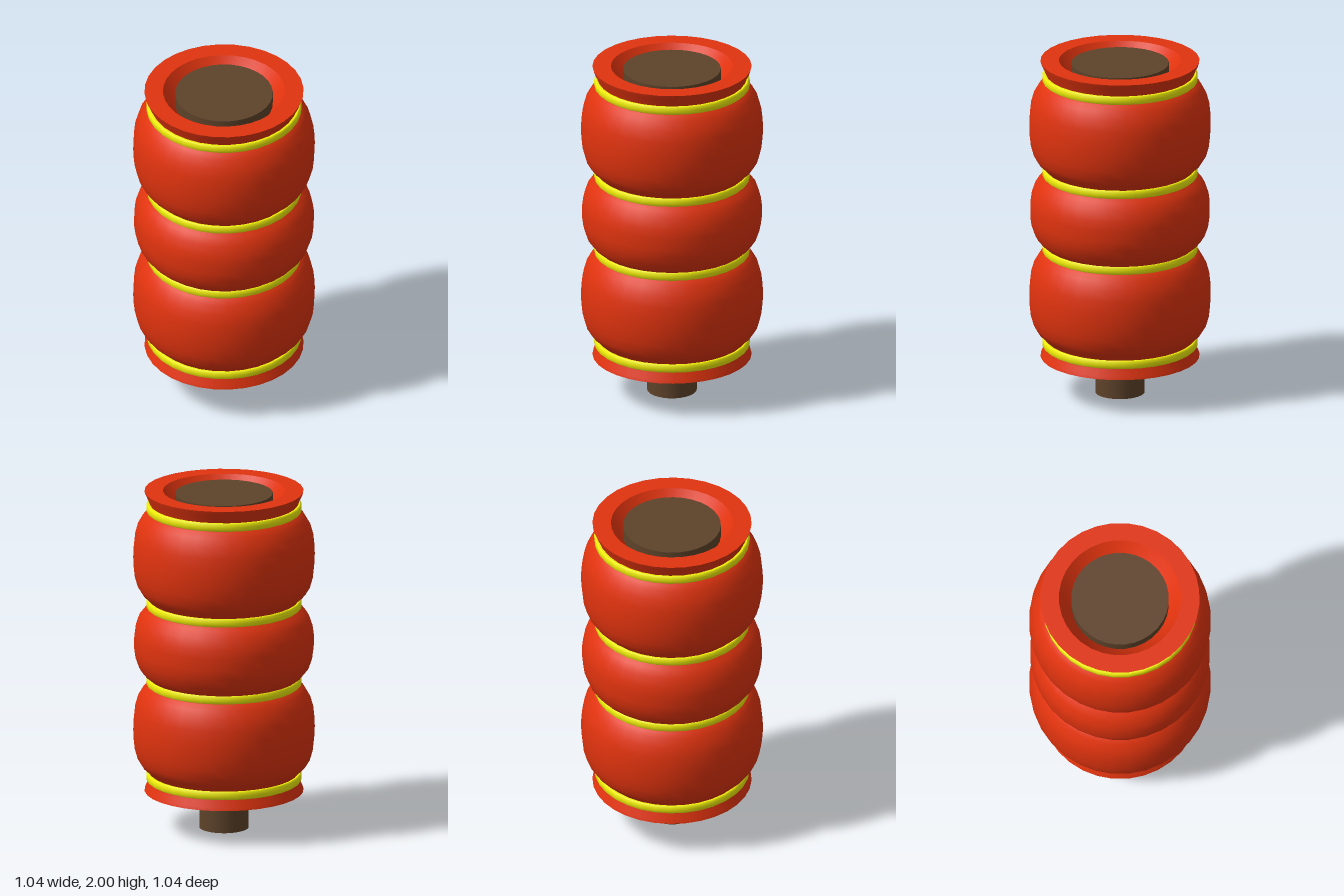
import * as THREE from 'three';

const SIDES = 32;
const red = new THREE.MeshStandardMaterial({ color: 0xe0330e });
const yellow = new THREE.MeshStandardMaterial({ color: 0xf0ee08 });
const brown = new THREE.MeshStandardMaterial({ color: 0x5e432a });

// Revolved surface; points run so that the outside lies to the right of travel
function lathe(name, points, material) {
  const geometry = new THREE.LatheGeometry(points.map(([r, y]) => new THREE.Vector2(r, y)), SIDES);
  const mesh = new THREE.Mesh(geometry, material);
  mesh.name = name;
  return mesh;
}

function cylinder(name, radius, y0, y1, material) {
  const mesh = new THREE.Mesh(new THREE.CylinderGeometry(radius, radius, y1 - y0, SIDES), material);
  mesh.position.y = (y0 + y1) / 2;
  mesh.name = name;
  return mesh;
}

// Padded section bulging between two bands: [fraction of height, radius]
const bulge = [
  [0, 0.42], [0.055, 0.445], [0.1, 0.472], [0.17, 0.495], [0.28, 0.512], [0.4, 0.519], [0.5, 0.521],
  [0.6, 0.519], [0.72, 0.512], [0.83, 0.495], [0.92, 0.467], [0.97, 0.445], [1, 0.42],
];
const roundBulge = [
  [0, 0.42], [0.07, 0.456], [0.16, 0.487], [0.3, 0.508], [0.42, 0.515],
  [0.58, 0.515], [0.7, 0.508], [0.84, 0.487], [0.93, 0.456], [1, 0.42],
];

function pad(name, profile, y0, y1) {
  return lathe(name, profile.map(([t, r]) => [r, y0 + t * (y1 - y0)]), red);
}

// Flared end ring with a flat lip and a funnel leading in to the core
function endRing(name, yLip, dir) {
  const group = new THREE.Group();
  group.name = name;
  const sections = [
    [[0.42, yLip - dir * 0.09], [0.435, yLip - dir * 0.05], [0.45, yLip - dir * 0.018], [0.456, yLip]],
    [[0.456, yLip], [0.35, yLip]],
    [[0.35, yLip], [0.335, yLip - dir * 0.02], [0.3, yLip - dir * 0.065], [0.27, yLip - dir * 0.1]],
  ];
  ['flare', 'lip', 'funnel'].forEach((part, i) => {
    const points = dir > 0 ? sections[i] : sections[i].reverse();
    group.add(lathe(part, points, red));
  });
  return group;
}

// Thin strap with softened edges
function band(y) {
  const group = new THREE.Group();
  group.name = 'band';
  const h = 0.024;
  group.add(
    lathe('bandFace', [[0.437, y - h], [0.445, y - h + 0.007], [0.446, y], [0.445, y + h - 0.007], [0.437, y + h]], yellow),
    lathe('bandUpperEdge', [[0.437, y + h], [0.4, y + h]], yellow),
    lathe('bandLowerEdge', [[0.4, y - h], [0.437, y - h]], yellow),
  );
  return group;
}

export function createModel() {
  const model = new THREE.Group();
  model.name = 'paddedRoller';

  // Padded cover
  model.add(
    pad('lowerPad', bulge, 0.32, 0.86),
    pad('middlePad', roundBulge, 0.885, 1.32),
    pad('upperPad', bulge, 1.345, 1.885),
    endRing('topRing', 2, 1),
    endRing('bottomRing', 0.22, -1),
  );

  // Straps in the grooves
  for (const y of [0.304, 0.873, 1.331, 1.9]) model.add(band(y));

  // Solid core and the shaft below it
  model.add(cylinder('core', 0.28, 0.23, 1.985, brown));
  model.add(cylinder('shaft', 0.142, 0, 0.3, brown));

  return model;
}
